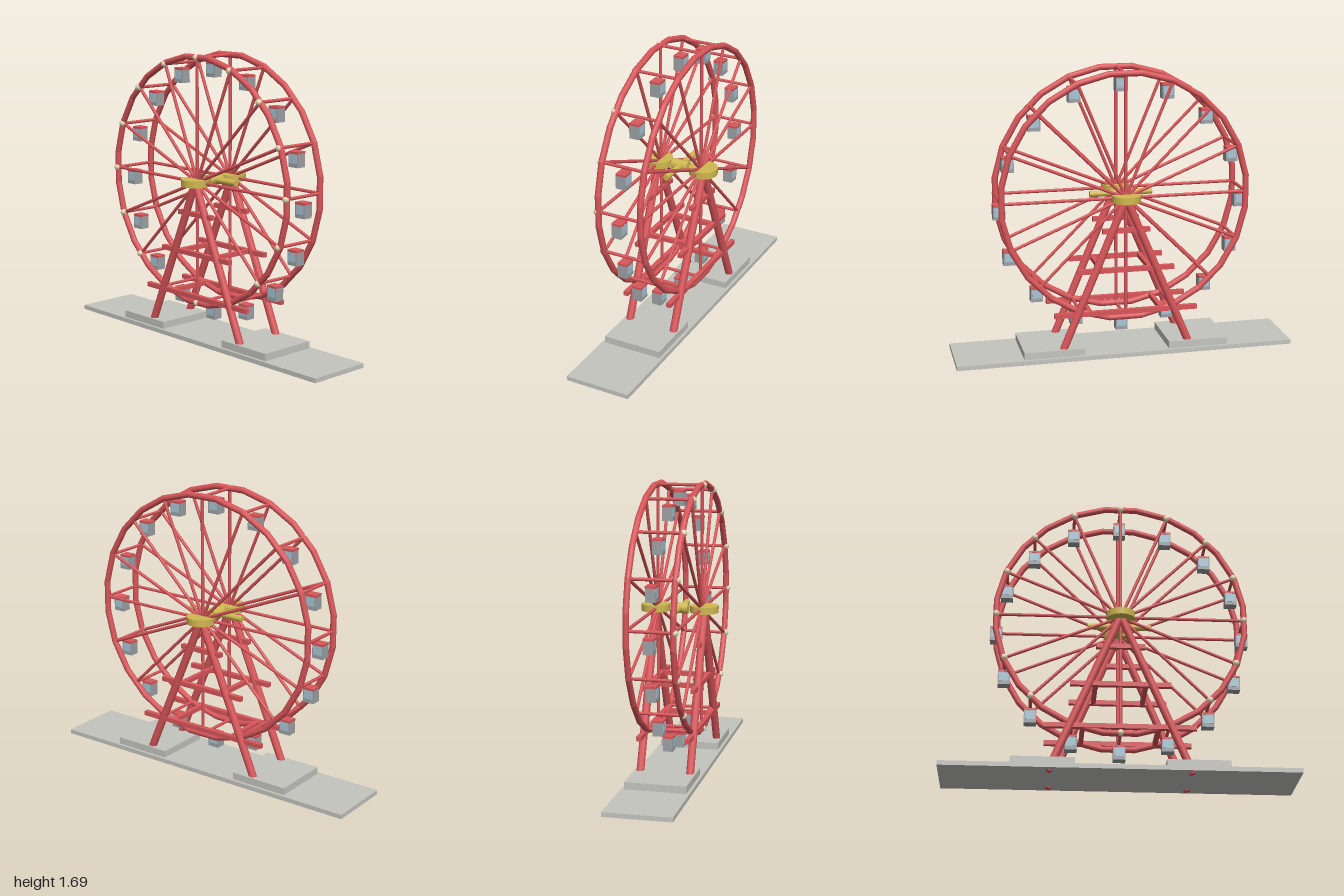
import * as THREE from 'three';

const mat = (color) => new THREE.MeshStandardMaterial({ color });

export function createModel() {
  const root = new THREE.Group();
  const red = mat(0xd9565a), yellow = mat(0xd0b850), grey = mat(0xc4c5bf);
  const cream = mat(0xe6dcb8), cabinGrey = mat(0x9da2a6), blue = mat(0xa9c6d6);
  const HUB = 0.96, R = 0.715, RIM_Z = 0.13, SPOKES = 16, RIM_SEGMENTS = 24;

  const add = (parent, name, geometry, material, x = 0, y = 0, z = 0) => {
    const mesh = new THREE.Mesh(geometry, material);
    mesh.name = name;
    mesh.position.set(x, y, z);
    parent.add(mesh);
    return mesh;
  };
  const box = (parent, name, size, pos, material) =>
    add(parent, name, new THREE.BoxGeometry(...size), material, ...pos);
  // round bar between two points
  const bar = (parent, name, a, b, radius, sides, material) => {
    const from = new THREE.Vector3(...a), to = new THREE.Vector3(...b);
    const dir = to.clone().sub(from);
    const mesh = add(parent, name, new THREE.CylinderGeometry(radius, radius, dir.length(), sides), material);
    mesh.position.copy(from).add(to).multiplyScalar(0.5);
    mesh.quaternion.setFromUnitVectors(new THREE.Vector3(0, 1, 0), dir.normalize());
    return mesh;
  };
  const group = (name, y = 0) => {
    const g = new THREE.Group();
    g.name = name;
    g.position.y = y;
    root.add(g);
    return g;
  };

  // ground plate and footing pads
  const base = group('base');
  box(base, 'basePlate', [2, 0.026, 0.39], [0, 0.027, 0], grey);
  for (const s of [-1, 1]) box(base, 'footingPad', [0.355, 0.042, 0.355], [s * 0.43, 0.061, 0], grey);

  // A-frame supports with horizontal braces
  const frame = group('supportFrame');
  const levels = [[0.77, 0.14], [0.535, 0.285], [0.28, 0.425]];
  for (const s of [-1, 1]) {
    for (const side of [-1, 1]) {
      bar(frame, 'supportLeg', [side * 0.4, 0.01, s * 0.145], [0, HUB, s * 0.145], 0.023, 12, red);
    }
    for (const [y, half] of levels) box(frame, 'braceBeam', [half * 2, 0.027, 0.028], [0, y, s * 0.14], red);
    for (const [y, half] of levels.slice(1)) {
      box(frame, 'crossBrace', [0.026, 0.026, 0.28], [s * half / 2, y, 0], red);
    }
  }

  // hub discs, axle bar and centre drum
  const hub = group('hub', HUB);
  for (const s of [-1, 1]) {
    add(hub, 'hubDisc', new THREE.CylinderGeometry(0.083, 0.083, 0.04, 24), yellow, 0, 0, s * 0.145);
  }
  bar(hub, 'axleBar', [-0.185, 0, 0], [0.185, 0, 0], 0.018, 16, yellow);
  bar(hub, 'centreDrum', [0, 0, -0.05], [0, 0, 0.05], 0.032, 16, yellow);

  // two rims of straight tube segments
  const wheel = group('wheel', HUB);
  const halfAngle = Math.PI / RIM_SEGMENTS, outer = R / Math.cos(halfAngle);
  const point = (angle, radius, z) => [Math.cos(angle) * radius, Math.sin(angle) * radius, z];
  for (const z of [-RIM_Z, RIM_Z]) {
    for (let i = 0; i < RIM_SEGMENTS; i++) {
      const a = i * 2 * halfAngle;
      bar(wheel, 'rimSegment', point(a - halfAngle * 1.03, outer, z), point(a + halfAngle * 1.03, outer, z), 0.018, 10, red);
    }
  }

  // spokes, rim ties, lamps and hanging cabins
  for (let i = 0; i < SPOKES; i++) {
    const a = (i / SPOKES) * Math.PI * 2;
    const [x, y] = point(a, R, 0);
    for (const z of [-RIM_Z, RIM_Z]) bar(wheel, 'spoke', [0, 0, z], [x, y, z], 0.0095, 8, red);
    bar(wheel, 'rimTie', [x, y, -RIM_Z], [x, y, RIM_Z], 0.0095, 8, red);
    add(wheel, 'lamp', new THREE.SphereGeometry(0.02, 8, 6), cream, x, y, 0.138);

    const cabin = new THREE.Group();
    cabin.name = 'cabin';
    cabin.position.set(x, y, 0);
    wheel.add(cabin);
    box(cabin, 'cabinRoof', [0.07, 0.012, 0.06], [0, -0.036, 0], red);
    box(cabin, 'cabinBody', [0.07, 0.076, 0.058], [0, -0.08, 0], cabinGrey);
    box(cabin, 'cabinWindow', [0.056, 0.05, 0.061], [0, -0.071, 0], blue);
  }
  return root;
}
